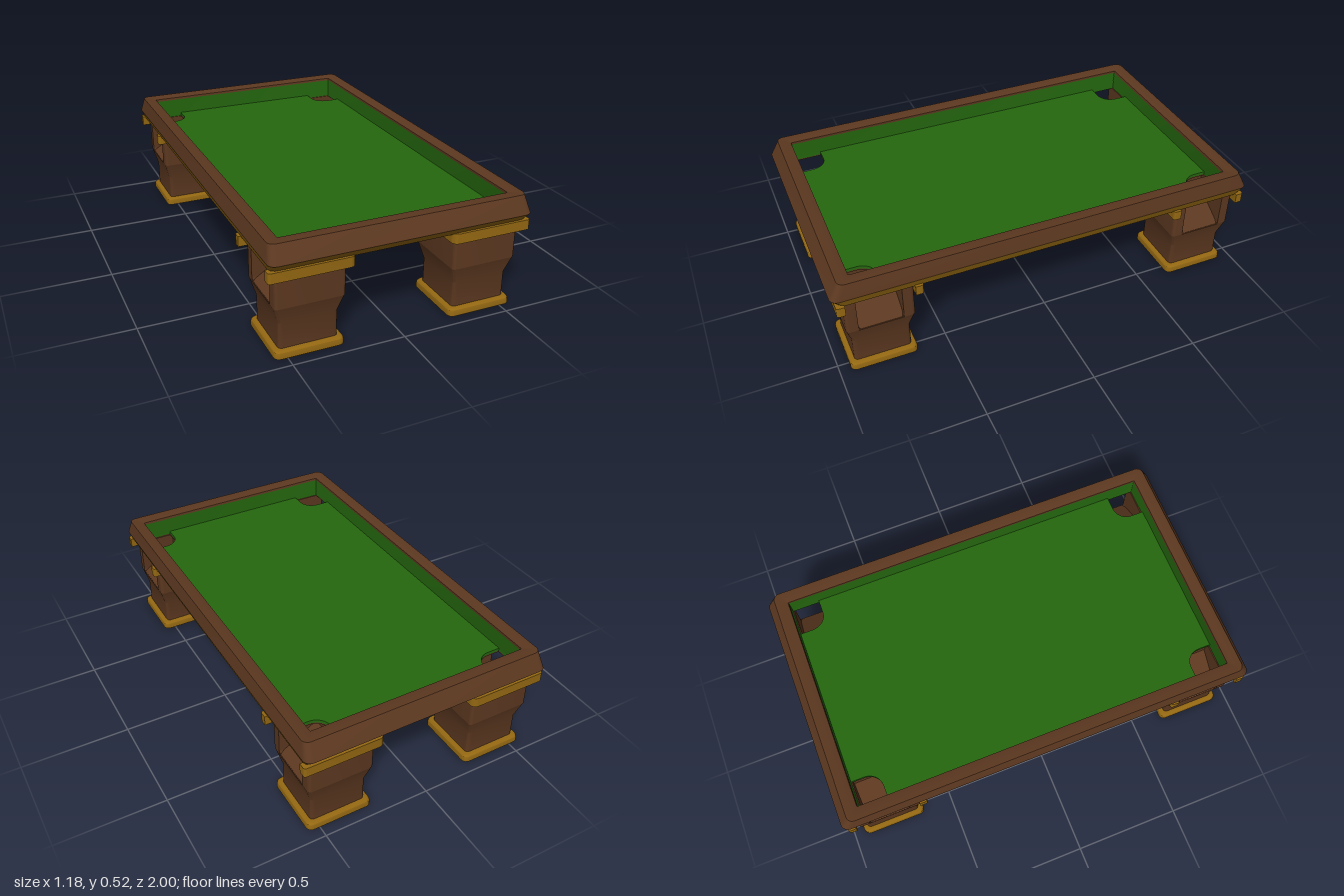
import * as THREE from 'three';
import { toCreasedNormals } from 'three/addons/utils/BufferGeometryUtils.js';

const wood = new THREE.MeshStandardMaterial({ color: 0x5c3820 });
const gold = new THREE.MeshStandardMaterial({ color: 0x946812 });
const felt = new THREE.MeshStandardMaterial({ color: 0x25680f });

function add(parent, name, geometry, material) {
  const mesh = new THREE.Mesh(geometry, material);
  mesh.name = name;
  parent.add(mesh);
  return mesh;
}

// Skin through rounded rectangles given as [y, halfX, halfZ, cornerRadius], bottom to top
function loft(rings, capped) {
  const pos = [], idx = [], steps = 5, n = 4 * (steps + 1);
  for (const [y, hx, hz, r] of rings) {
    for (let c = 0; c < 4; c++) {
      const sx = c === 0 || c === 3 ? 1 : -1, sz = c < 2 ? -1 : 1;
      for (let i = 0; i <= steps; i++) {
        const a = (c + i / steps) * Math.PI / 2;
        pos.push(sx * (hx - r) + r * Math.cos(a), y, sz * (hz - r) - r * Math.sin(a));
      }
    }
  }
  for (let k = 0; k < rings.length - 1; k++) {
    for (let j = 0; j < n; j++) {
      const a = k * n + j, b = k * n + (j + 1) % n;
      idx.push(a, b, b + n, a, b + n, a + n);
    }
  }
  if (capped) {
    const low = pos.length / 3, high = low + 1, last = (rings.length - 1) * n;
    pos.push(0, rings[0][0], 0, 0, rings[rings.length - 1][0], 0);
    for (let j = 0; j < n; j++) {
      const k = (j + 1) % n;
      idx.push(low, k, j, high, last + j, last + k);
    }
  }
  const g = new THREE.BufferGeometry();
  g.setAttribute('position', new THREE.Float32BufferAttribute(pos, 3));
  g.setIndex(idx);
  return toCreasedNormals(g, 0.45);
}

// Plan shape (x, z) extruded downwards from y = top to y = bottom
function slab(shape, bottom, top) {
  const g = new THREE.ExtrudeGeometry(shape, { depth: top - bottom, bevelEnabled: false, curveSegments: 8 });
  g.rotateX(Math.PI / 2).translate(0, top, 0);
  return toCreasedNormals(g, 0.45);
}

// U-shaped plan, open towards +x, with rounded corners
function uShape(xIn, xOut, hz, xSlot, hSlot, r, rEnd) {
  const s = new THREE.Shape();
  s.moveTo(xIn + r, -hz);
  s.lineTo(xOut - rEnd, -hz);
  s.quadraticCurveTo(xOut, -hz, xOut, -hz + rEnd);
  s.lineTo(xOut, -hSlot);
  s.lineTo(xSlot, -hSlot);
  s.lineTo(xSlot, hSlot);
  s.lineTo(xOut, hSlot);
  s.lineTo(xOut, hz - rEnd);
  s.quadraticCurveTo(xOut, hz, xOut - rEnd, hz);
  s.lineTo(xIn + r, hz);
  s.quadraticCurveTo(xIn, hz, xIn, hz - r);
  s.lineTo(xIn, -hz + r);
  s.quadraticCurveTo(xIn, -hz, xIn + r, -hz);
  return s;
}

// Rectangle with a pocket hole in each corner
function pocketedPlate(hx, hz) {
  const s = new THREE.Shape();
  s.moveTo(-hx, -hz);
  s.lineTo(hx, -hz);
  s.lineTo(hx, hz);
  s.lineTo(-hx, hz);
  s.closePath();
  for (const sx of [-1, 1]) {
    for (const sz of [-1, 1]) {
      const h = new THREE.Path();
      h.moveTo(sx * 0.52, sz * 0.9);
      h.lineTo(sx * 0.385, sz * 0.9);
      h.lineTo(sx * 0.385, sz * 0.84);
      h.bezierCurveTo(sx * 0.385, sz * 0.8, sx * 0.415, sz * 0.768, sx * 0.455, sz * 0.768);
      h.lineTo(sx * 0.52, sz * 0.768);
      h.closePath();
      s.holes.push(h);
    }
  }
  return s;
}

// Leg centred on its own axis, ball opening facing +x
function makeLeg() {
  const leg = new THREE.Group();
  leg.name = 'leg';
  add(leg, 'legBase', loft([
    [0, 0.153, 0.153, 0.025], [0.018, 0.153, 0.153, 0.025], [0.027, 0.151, 0.151, 0.025],
    [0.033, 0.146, 0.146, 0.025], [0.035, 0.14, 0.14, 0.025],
  ], true), gold);
  add(leg, 'legColumn', loft([
    [0.03, 0.13, 0.13, 0.018], [0.15, 0.13, 0.13, 0.018], [0.23, 0.153, 0.153, 0.018],
  ], true), wood);
  add(leg, 'legHead', slab(uShape(-0.153, 0.153, 0.153, -0.025, 0.1, 0.018, 0.018), 0.23, 0.412), wood);
  add(leg, 'legCollar', slab(uShape(-0.18, 0.19, 0.187, -0.15, 0.15, 0.03, 0.012), 0.37, 0.416), gold);

  // Sloping ball chute inside the opening
  const wedge = new THREE.Shape();
  wedge.moveTo(-0.026, 0.229);
  wedge.lineTo(0.15, 0.229);
  wedge.lineTo(0.15, 0.232);
  wedge.lineTo(-0.026, 0.34);
  const chute = new THREE.ExtrudeGeometry(wedge, { depth: 0.2, bevelEnabled: false });
  add(leg, 'ballChute', chute.translate(0, 0, -0.1), wood);

  // Small fillets rounding the lower corners of the opening
  for (const s of [-1, 1]) {
    const f = new THREE.Shape();
    f.moveTo(s * 0.1, 0.23);
    f.lineTo(s * 0.1, 0.25);
    f.quadraticCurveTo(s * 0.1, 0.23, s * 0.08, 0.23);
    f.closePath();
    const g = new THREE.ExtrudeGeometry(f, { depth: 0.17, bevelEnabled: false, curveSegments: 5 });
    add(leg, 'openingFillet', g.rotateY(Math.PI / 2).translate(-0.02, 0, 0), wood);
  }
  return leg;
}

export function createModel() {
  const table = new THREE.Group();
  table.name = 'poolTable';

  // Frame: gold lower bevel, wooden rail, green cushion lining
  add(table, 'lowerTrim', loft([[0.41, 0.575, 0.965, 0.03], [0.45, 0.59, 1.0, 0.035]], false), gold);
  add(table, 'rail', loft([
    [0.45, 0.59, 1.0, 0.035], [0.525, 0.577, 0.96, 0.03],
    [0.525, 0.545, 0.925, 0.012], [0.519, 0.52, 0.902, 0.004], [0.508, 0.52, 0.9, 0.004],
  ], false), wood);
  add(table, 'cushion', loft([[0.508, 0.52, 0.9, 0.004], [0.41, 0.52, 0.9, 0.004]], false), felt);

  // Playing surface and underside, both pierced by the corner pockets
  add(table, 'playingSurface', slab(pocketedPlate(0.523, 0.903), 0.416, 0.43), felt);
  add(table, 'underside', slab(pocketedPlate(0.573, 0.963), 0.41, 0.416), wood);

  for (const sx of [-1, 1]) {
    for (const sz of [-1, 1]) {
      const leg = makeLeg();
      leg.position.set(sx * 0.4, 0, sz * 0.795);
      if (sx < 0) leg.rotation.y = Math.PI;
      table.add(leg);
    }
  }
  return table;
}
